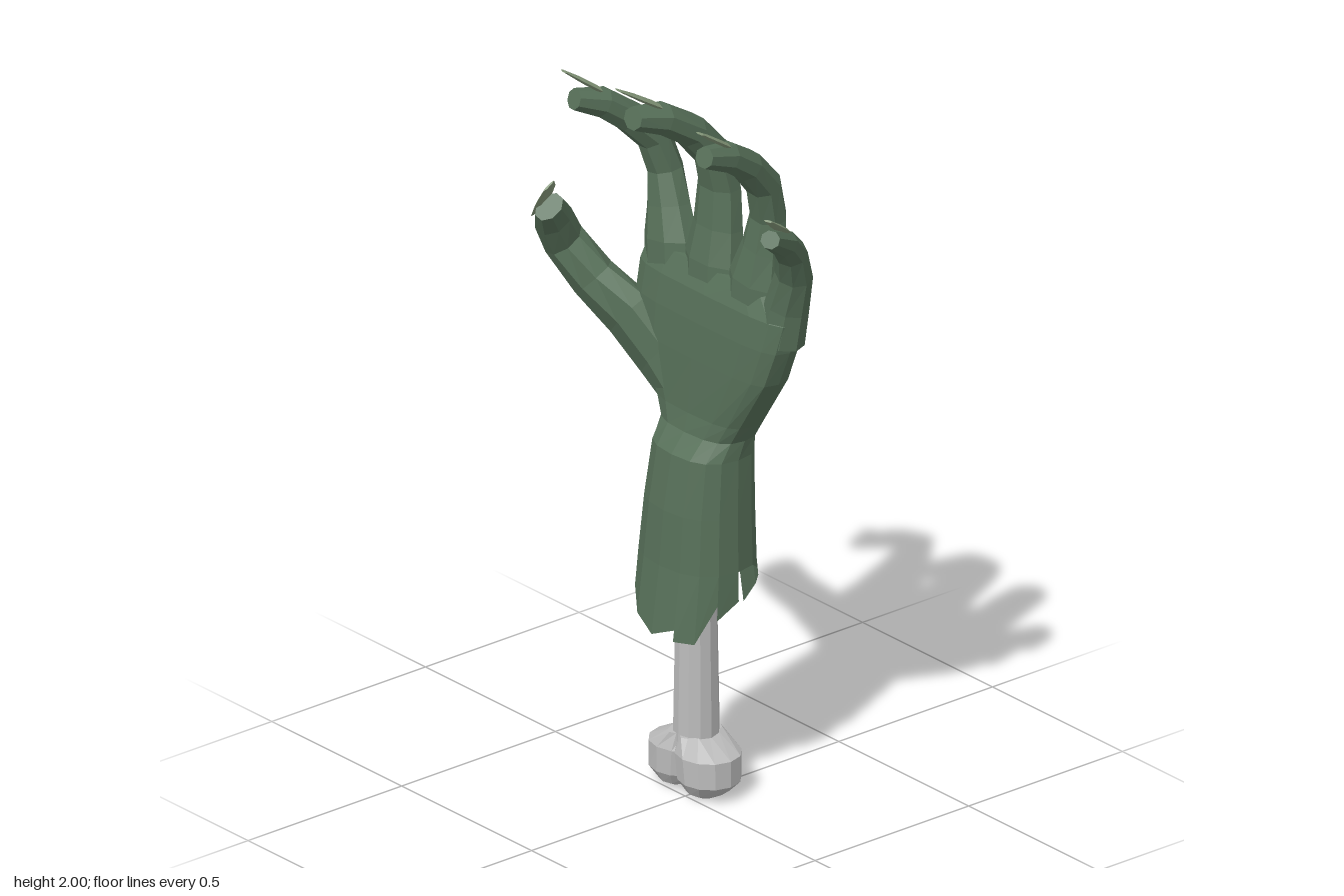
import * as THREE from 'three';

const V = (x, y, z) => new THREE.Vector3(x, y, z);

function mat(name, color, opts = {}) {
  const m = new THREE.MeshStandardMaterial({ color, flatShading: true, ...opts });
  m.name = name;
  return m;
}

// Ring of n points around c; p below 1 squares the outline off
function ring(c, u, v, w, h, n = 8, p = 1, turn = 0.5) {
  const pw = (s) => Math.sign(s) * Math.pow(Math.abs(s), p);
  return Array.from({ length: n }, (_, i) => {
    const a = ((i + turn) / n) * Math.PI * 2;
    return c.clone().addScaledVector(u, w * pw(Math.cos(a))).addScaledVector(v, h * pw(Math.sin(a)));
  });
}

// Skin over a list of rings, optionally closed at both ends
function loft(rings, capStart = true, capEnd = true) {
  const pos = [];
  const tri = (...pts) => pts.forEach((q) => pos.push(q.x, q.y, q.z));
  const n = rings[0].length;
  for (let k = 0; k < rings.length - 1; k++) {
    const a = rings[k], b = rings[k + 1];
    for (let i = 0; i < n; i++) {
      const j = (i + 1) % n;
      tri(a[i], a[j], b[j]);
      tri(a[i], b[j], b[i]);
    }
  }
  const cap = (r, flip) => {
    const c = r.reduce((s, q) => s.add(q), V(0, 0, 0)).divideScalar(n);
    r.forEach((q, i) => (flip ? tri(c, r[(i + 1) % n], q) : tri(c, q, r[(i + 1) % n])));
  };
  if (capStart) cap(rings[0], true);
  if (capEnd) cap(rings[rings.length - 1], false);
  const g = new THREE.BufferGeometry();
  g.setAttribute('position', new THREE.Float32BufferAttribute(pos, 3));
  g.computeVertexNormals();
  return g;
}

// Level cross-section given by its x and z limits
const level = (y, x0, x1, z0, z1, p) =>
  ring(V((x0 + x1) / 2, y, (z0 + z1) / 2), V(0, 0, 1), V(1, 0, 0), (z1 - z0) / 2, (x1 - x0) / 2, 16, p, 0);

// Finger: rows are [x, y, z, half width, half thickness]; the nail ends at tip
function digit(rows, side, tip, nailW) {
  const pts = rows.map((r) => V(r[0], r[1], r[2]));
  const frames = pts.map((c, i) => {
    const t = pts[Math.min(i + 1, pts.length - 1)].clone().sub(pts[Math.max(i - 1, 0)]).normalize();
    const u = side.clone().addScaledVector(t, -side.dot(t)).normalize();
    return { c, u, v: t.clone().cross(u), w: rows[i][3], h: rows[i][4] };
  });
  const body = loft(frames.map((f) => ring(f.c, f.u, f.v, f.w, f.h)));
  const e = frames[frames.length - 1], d = frames[frames.length - 2];
  const root = d.c.clone().lerp(e.c, 0.3).addScaledVector(e.v, d.h * 0.85);
  const nail = loft([
    ring(root, e.u, e.v, nailW, 0.008, 6, 1, 0),
    ring(root.clone().lerp(tip, 0.5), e.u, e.v, nailW, 0.007, 6, 1, 0),
    ring(tip, e.u, e.v, nailW * 0.5, 0.003, 6, 1, 0),
  ]);
  return { body, nail };
}

export function createModel() {
  const group = new THREE.Group();
  const skin = mat('green skin', 0x577059, { side: THREE.DoubleSide });
  const nailMat = mat('pale nail', 0x85987a);
  const boneMat = mat('grey bone', 0xbcbcbc);
  const flesh = mat('dark red flesh', 0x8c0000, { side: THREE.DoubleSide });
  const add = (name, geo, m) => {
    const mesh = new THREE.Mesh(geo, m);
    mesh.name = name;
    group.add(mesh);
  };

  // Palm and wrist
  const wrist = level(1.0, 0, 0.16, -0.145, 0.135, 0.75);
  add('palm', loft([
    wrist,
    level(1.05, 0.01, 0.155, -0.17, 0.165, 0.65),
    level(1.2, 0.015, 0.147, -0.25, 0.265, 0.55),
    level(1.3, 0.02, 0.147, -0.255, 0.305, 0.55),
    level(1.38, 0.03, 0.15, -0.25, 0.325, 0.55),
    level(1.44, 0.055, 0.142, -0.235, 0.25, 0.55),
  ], false, true), skin);

  // Forearm skin
  const cuff = level(0.65, -0.07, 0.18, -0.175, 0.14, 0.85);
  add('forearm', loft([
    cuff,
    level(0.8, -0.06, 0.175, -0.16, 0.135, 0.85),
    level(0.95, -0.04, 0.168, -0.142, 0.13, 0.8),
    wrist,
  ], false, false), skin);

  // Torn shards: lower height at both sides of each cuff panel, from front round by the left
  const tornY = [
    [0.65, 0.65], [0.65, 0.62], [0.6, 0.55], [0.55, 0.47], [0.65, 0.65], [0.65, 0.63], [0.63, 0.57], [0.56, 0.47],
    [0.47, 0.56], [0.6, 0.6], [0.55, 0.5], [0.5, 0.47], [0.47, 0.5], [0.47, 0.47], [0.47, 0.57], [0.53, 0.57],
  ];
  const upper = [], lower = [];
  tornY.forEach((pair, i) => pair.forEach((y, k) => {
    const q = cuff[(i + k) % 16], drop = 0.65 - y;
    upper.push(q);
    lower.push(V(0.055 + (q.x - 0.055) * (1 + drop * 1.1), y, -0.0175 + (q.z + 0.0175) * (1 + drop * 0.1)));
  }));
  add('tornShards', loft([lower, upper], false, false), skin);
  add('fleshCap', loft([0.655, 0.66].map((y) => level(y, -0.066, 0.176, -0.171, 0.137, 0.85))), flesh);

  // Fingers and thumb
  const z = V(0, 0, 1);
  const digits = {
    indexFinger: [[
      [0.093, 1.34, -0.155, 0.088, 0.058], [0.095, 1.45, -0.165, 0.086, 0.056], [0.105, 1.53, -0.187, 0.066, 0.05],
      [0.112, 1.62, -0.21, 0.051, 0.045], [0.085, 1.71, -0.222, 0.048, 0.045], [0.015, 1.78, -0.237, 0.045, 0.042],
      [-0.06, 1.835, -0.25, 0.041, 0.04], [-0.14, 1.862, -0.262, 0.029, 0.028],
    ], z, V(-0.162, 1.94, -0.275), 0.029],
    middleFinger: [[
      [0.093, 1.34, 0, 0.092, 0.058], [0.095, 1.45, 0, 0.094, 0.056], [0.108, 1.54, 0, 0.078, 0.05],
      [0.112, 1.65, 0, 0.068, 0.045], [0.09, 1.74, 0, 0.064, 0.045], [0.015, 1.825, 0, 0.056, 0.044],
      [-0.08, 1.885, 0, 0.049, 0.042], [-0.17, 1.91, 0, 0.034, 0.03],
    ], z, V(-0.215, 2, 0), 0.031],
    ringFinger: [[
      [0.093, 1.34, 0.155, 0.088, 0.058], [0.095, 1.45, 0.163, 0.086, 0.056], [0.105, 1.54, 0.178, 0.064, 0.05],
      [0.11, 1.63, 0.19, 0.052, 0.045], [0.082, 1.73, 0.203, 0.05, 0.045], [0.015, 1.805, 0.219, 0.046, 0.042],
      [-0.06, 1.855, 0.232, 0.041, 0.04], [-0.145, 1.882, 0.245, 0.029, 0.028],
    ], z, V(-0.17, 1.96, 0.258), 0.028],
    littleFinger: [[
      [0.09, 1.32, 0.262, 0.062, 0.054], [0.093, 1.42, 0.282, 0.058, 0.05], [0.085, 1.52, 0.318, 0.049, 0.044],
      [0.05, 1.6, 0.348, 0.043, 0.04], [0, 1.652, 0.378, 0.038, 0.036], [-0.08, 1.7, 0.422, 0.026, 0.024],
    ], V(0.35, 0, 1).normalize(), V(-0.11, 1.77, 0.45), 0.024],
    thumb: [[
      [0.08, 1.04, -0.07, 0.06, 0.06], [0.072, 1.13, -0.17, 0.064, 0.1], [0.045, 1.22, -0.265, 0.062, 0.1],
      [0.002, 1.3, -0.357, 0.058, 0.07], [-0.05, 1.4, -0.41, 0.056, 0.047],
      [-0.1, 1.48, -0.39, 0.053, 0.043], [-0.143, 1.535, -0.355, 0.042, 0.03],
    ], V(0.9, 0.4, 0).normalize(), V(-0.182, 1.62, -0.31), 0.038],
  };
  for (const [name, args] of Object.entries(digits)) {
    const { body, nail } = digit(...args);
    add(name, body, skin);
    add(name + 'Nail', nail, nailMat);
  }

  // Bone shaft and its two end knobs
  const shaft = new THREE.CylinderGeometry(0.05, 0.06, 0.56, 12);
  add('boneShaft', shaft.translate(0.055, 0.39, -0.022), boneMat);
  // Knob levels: [y, z offset, half depth, half width]
  const knobRows = [[0.004, 0.055, 0.025, 0.035], [0.018, 0.052, 0.052, 0.06], [0.05, 0.055, 0.083, 0.08],
    [0.12, 0.05, 0.088, 0.083], [0.165, 0.022, 0.033, 0.065]];
  for (const s of [-1, 1]) {
    add(s < 0 ? 'backBoneKnob' : 'frontBoneKnob', loft(knobRows.map(([y, off, d, w]) =>
      ring(V(0.055, y, -0.027 + s * off), z, V(1, 0, 0), d, w, 12, 1, 0))), boneMat);
  }
  return group;
}
